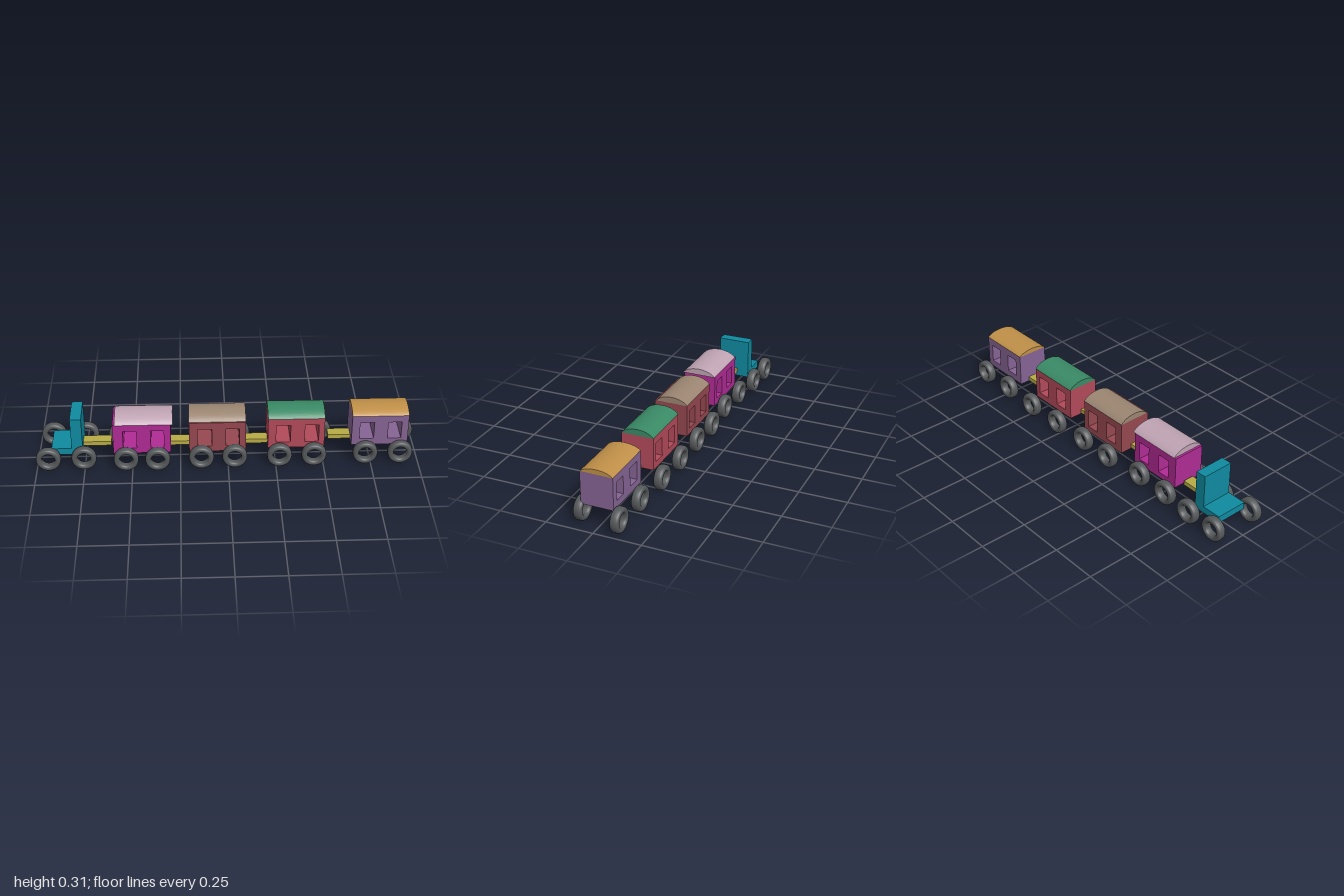
import * as THREE from 'three';

const WHEEL_R = 0.065;

function mesh(name, geometry, color) {
  const m = new THREE.Mesh(geometry, new THREE.MeshStandardMaterial({ color }));
  m.name = name;
  return m;
}

// Box given by its extents on each axis
function box(name, color, [x0, x1], [y0, y1], [z0, z1]) {
  const m = mesh(name, new THREE.BoxGeometry(x1 - x0, y1 - y0, z1 - z0), color);
  m.position.set((x0 + x1) / 2, (y0 + y1) / 2, (z0 + z1) / 2);
  return m;
}

// Tyre: rounded, wide ring profile turned about the axle
function tyreGeometry() {
  const inner = 0.034, half = (WHEEL_R - inner) / 2, profile = [];
  const round = (v) => Math.sign(v) * Math.pow(Math.abs(v), 0.75);
  for (let i = 0; i <= 20; i++) {
    const t = (i / 20) * Math.PI * 2;
    profile.push(new THREE.Vector2(inner + half + half * round(Math.cos(t)), 0.023 * round(Math.sin(t))));
  }
  return new THREE.LatheGeometry(profile, 32).rotateX(Math.PI / 2);
}

function rectPath(x0, x1, y0, y1) {
  return [[x0, y0], [x1, y0], [x1, y1], [x0, y1]].map(([x, y]) => new THREE.Vector2(x, y));
}

// Solid carriage body with two windows cut straight through
function carBody(c) {
  const shape = new THREE.Shape(rectPath(c.x[0], c.x[1], c.y[0], c.y[1]));
  for (const [a, b] of c.windows) {
    shape.holes.push(new THREE.Path(rectPath(a, b, c.sill, c.lintel)));
  }
  const depth = c.z[1] - c.z[0];
  const m = mesh('carriageBody', new THREE.ExtrudeGeometry(shape, { depth, bevelEnabled: false }), c.color);
  m.position.z = c.z[0];
  return m;
}

// Arched roof, extruded along the train
function carRoof(c) {
  const [z0, z1] = c.roofZ, cz = (z0 + z1) / 2, hw = (z1 - z0) / 2;
  const a0 = 0.4, s0 = Math.sin(a0), points = [];
  for (let i = 0; i <= 24; i++) {
    const a = a0 + (Math.PI - 2 * a0) * (i / 24);
    points.push(new THREE.Vector2(
      (hw * Math.cos(a)) / Math.cos(a0),
      ((c.roofTop - c.y[1]) * (Math.sin(a) - s0)) / (1 - s0)));
  }
  const geo = new THREE.ExtrudeGeometry(new THREE.Shape(points), {
    depth: c.roofX[1] - c.roofX[0], bevelEnabled: false,
  });
  geo.rotateY(Math.PI / 2);
  const m = mesh('carriageRoof', geo, c.roofColor);
  m.position.set(c.roofX[0], c.y[1], cz);
  return m;
}

export function createModel() {
  const train = new THREE.Group();
  train.name = 'toyTrain';

  // Engine: flat base with an upright cab
  const teal = 0x0f8ba0;
  const engine = new THREE.Group();
  engine.name = 'engine';
  engine.add(box('engineBase', teal, [-0.92, -0.757], [0.072, 0.11], [-0.09, 0.083]));
  engine.add(box('engineCab', teal, [-0.815, -0.757], [0.11, 0.288], [-0.09, 0.083]));
  train.add(engine);

  // Carriages
  const cars = [
    { color: 0xb02c94, roofColor: 0xc0a4b4, x: [-0.597, -0.298], y: [0.09, 0.264], z: [-0.073, 0.106],
      roofX: [-0.585, -0.287], roofZ: [-0.074, 0.11], roofTop: 0.298,
      windows: [[-0.545, -0.475], [-0.402, -0.333]], sill: 0.122, lintel: 0.225 },
    { color: 0x964850, roofColor: 0x9c8672, x: [-0.203, 0.092], y: [0.09, 0.265], z: [-0.08, 0.102],
      roofX: [-0.203, 0.092], roofZ: [-0.08, 0.095], roofTop: 0.298,
      windows: [[-0.158, -0.085], [-0.012, 0.058]], sill: 0.122, lintel: 0.225 },
    { color: 0xb24a5a, roofColor: 0x3a8a66, x: [0.207, 0.502], y: [0.098, 0.273], z: [-0.08, 0.093],
      roofX: [0.207, 0.502], roofZ: [-0.081, 0.094], roofTop: 0.306,
      windows: [[0.25, 0.325], [0.4, 0.472]], sill: 0.132, lintel: 0.234 },
    { color: 0x866494, roofColor: 0xc09048, x: [0.644, 0.938], y: [0.106, 0.28], z: [-0.08, 0.092],
      roofX: [0.644, 0.938], roofZ: [-0.08, 0.092], roofTop: 0.305,
      windows: [[0.686, 0.76], [0.833, 0.903]], sill: 0.143, lintel: 0.241 },
  ];
  for (const c of cars) {
    const car = new THREE.Group();
    car.name = 'carriage';
    car.add(carBody(c), carRoof(c));
    train.add(car);
  }

  // Coupling bars between the vehicles
  const bars = [
    [[-0.757, -0.61], [0.093, 0.117], [-0.025, 0.035]],
    [[-0.298, -0.2], [0.095, 0.119], [-0.014, 0.046]],
    [[0.09, 0.208], [0.101, 0.125], [-0.008, 0.052]],
    [[0.527, 0.645], [0.108, 0.132], [-0.025, 0.035]],
  ];
  for (const b of bars) train.add(box('coupling', 0xb8ac46, ...b));

  // Wheels: [x, z] pairs, slightly uneven as hand placed
  const wheels = [
    [-0.925, -0.13], [-0.75, -0.128], [-0.937, 0.109], [-0.752, 0.104],
    [-0.568, -0.111], [-0.369, -0.104], [-0.532, 0.122], [-0.368, 0.126],
    [-0.143, -0.122], [0.055, -0.12], [-0.14, 0.116], [0.034, 0.113],
    [0.273, -0.122], [0.493, -0.122], [0.268, 0.111], [0.449, 0.11],
    [0.719, -0.111], [0.935, -0.106], [0.719, 0.102], [0.902, 0.102],
  ];
  const tyre = tyreGeometry();
  for (const [x, z] of wheels) {
    const w = mesh('wheel', tyre, 0x55585a);
    w.position.set(x, WHEEL_R, z);
    train.add(w);
  }
  return train;
}
